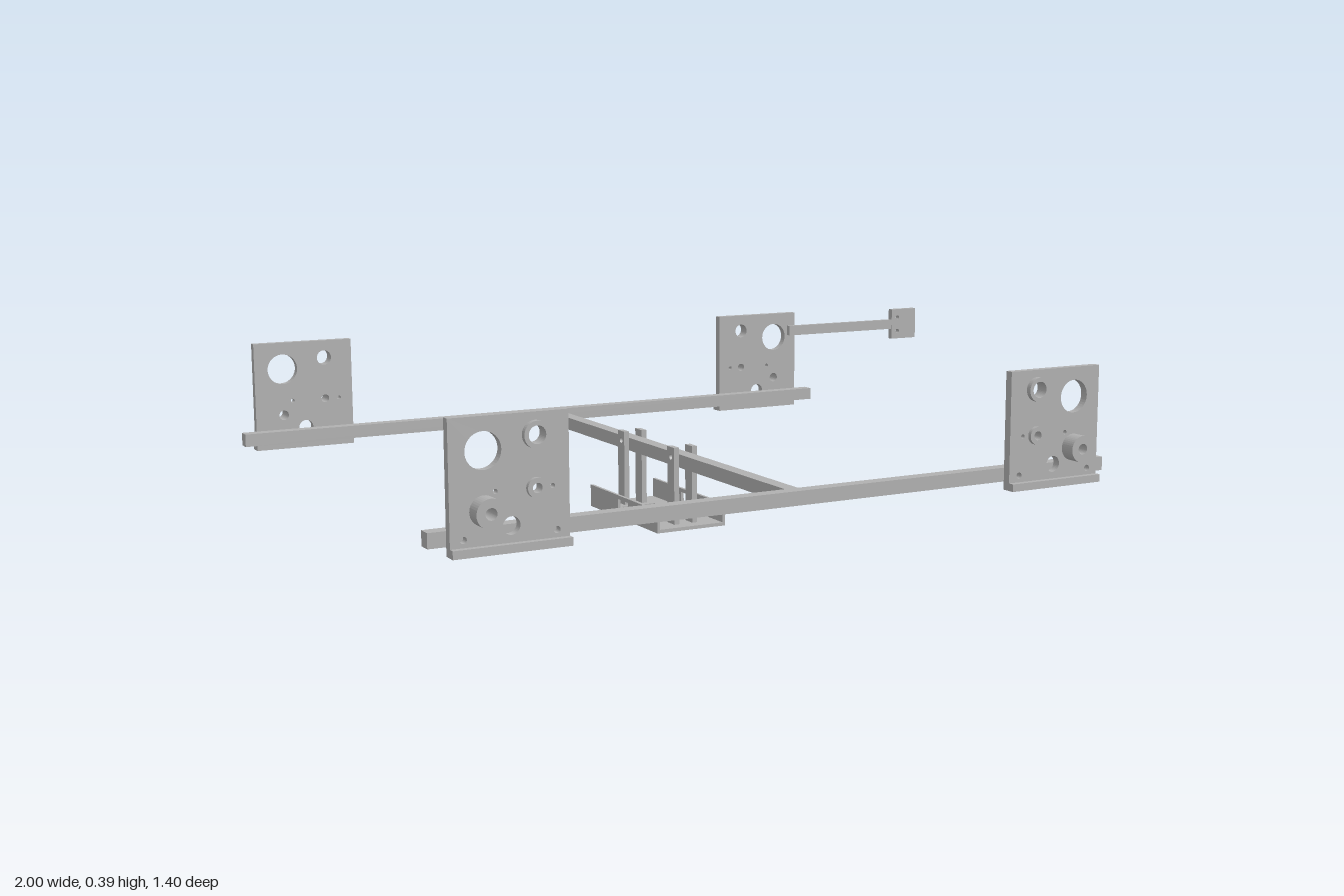
import * as THREE from 'three';

const grey = new THREE.MeshStandardMaterial({ color: 0xb0b0b0 });
grey.name = 'plain grey';

function add(parent, name, geometry, x = 0, y = 0, z = 0) {
  const mesh = new THREE.Mesh(geometry, grey);
  mesh.name = name;
  mesh.position.set(x, y, z);
  parent.add(mesh);
  return mesh;
}

// Box given by its extents
function block(parent, name, x0, x1, y0, y1, z0, z1) {
  return add(parent, name, new THREE.BoxGeometry(x1 - x0, y1 - y0, z1 - z0),
    (x0 + x1) / 2, (y0 + y1) / 2, (z0 + z1) / 2);
}

function rectPoints(x0, x1, y0, y1) {
  return [[x0, y0], [x1, y0], [x1, y1], [x0, y1]].map(p => new THREE.Vector2(...p));
}

function circleHole(x, y, r) {
  return new THREE.Path().absarc(x, y, r, 0, Math.PI * 2, true);
}

function extrude(shape, depth) {
  return new THREE.ExtrudeGeometry(shape, { depth, bevelEnabled: false, curveSegments: 20 });
}

// Hollow cylinder along z
function tube(parent, name, x, y, z, outer, inner, depth) {
  const s = new THREE.Shape().absarc(0, 0, outer, 0, Math.PI * 2, false);
  s.holes.push(circleHole(0, 0, inner));
  return add(parent, name, extrude(s, depth), x, y, z);
}

function gear(parent, x, y, z) {
  const teeth = 24, pts = [];
  for (let i = 0; i < teeth; i++) {
    [[0, 0.049], [0.3, 0.049], [0.45, 0.055], [0.8, 0.055]].forEach(([t, r]) => {
      const a = (i + t) / teeth * Math.PI * 2;
      pts.push(new THREE.Vector2(Math.cos(a) * r, Math.sin(a) * r));
    });
  }
  const s = new THREE.Shape(pts);
  s.holes.push(circleHole(0, 0, 0.01));
  add(parent, 'gear', extrude(s, 0.018), x, y, z);
}

// Drilled plate facing +z; m = 1 or -1 mirrors the hole pattern
function wheelPlate(m, withGear) {
  const g = new THREE.Group();
  g.name = 'wheelPlate';
  const front = 0.664, w = 0.123;
  const s = new THREE.Shape(rectPoints(-w, w, 0.123, 0.388));
  [[-0.053, 0.322, 0.037], [0.053, 0.345, 0.018], [-0.053, 0.207, 0.012], [0.053, 0.242, 0.01],
    [0.002, 0.173, 0.018], [-0.096, 0.155, 0.007], [0.096, 0.155, 0.007],
    [-0.03, 0.242, 0.005], [0.088, 0.242, 0.005]]
    .forEach(([x, y, r]) => s.holes.push(circleHole(x * m, y, r)));
  add(g, 'plate', extrude(s, 0.019), 0, 0, 0.645);
  block(g, 'lowerFlange', -w, w, 0.123, 0.14, front, 0.678);
  tube(g, 'upperBearing', 0.053 * m, 0.345, front, 0.027, 0.018, 0.012);
  tube(g, 'motorBoss', -0.053 * m, 0.207, front, 0.03, 0.012, 0.036);
  tube(g, 'axleBearing', 0.053 * m, 0.242, front, 0.02, 0.01, 0.009);
  if (withGear) {
    gear(g, 0.053 * m, 0.242, 0.673);
    tube(g, 'gearHub', 0.053 * m, 0.242, 0.691, 0.027, 0.01, 0.008);
  }
  return g;
}

export function createModel() {
  const model = new THREE.Group();
  model.name = 'rollingFrame';

  // Main H-shaped frame
  block(model, 'frontBeam', -1, 0.625, 0.141, 0.172, 0.613, 0.644);
  block(model, 'backBeam', -1, 0.625, 0.141, 0.172, -0.644, -0.613);
  block(model, 'crossBeam', -0.203, -0.171, 0.141, 0.172, -0.613, 0.613);

  // Four plates, with gears on the back pair
  for (const [x, m] of [[-0.84, 1], [0.467, -1]]) {
    const front = wheelPlate(m, false);
    front.position.x = x;
    const back = wheelPlate(-m, true);
    back.position.x = x;
    back.rotation.y = Math.PI;
    model.add(front, back);
  }

  // Side arm with its drilled end plate
  block(model, 'armBar', 0.565, 0.916, 0.325, 0.352, -0.644, -0.631);
  const end = new THREE.Shape(rectPoints(0.914, 0.997, 0.296, 0.382));
  end.holes.push(circleHole(0.934, 0.358, 0.006), circleHole(0.934, 0.318, 0.006));
  add(model, 'armEnd', extrude(end, 0.016), 0, 0, -0.645);

  // Hanging tray: base with window and slotted side walls
  const tray = new THREE.Group();
  tray.name = 'tray';
  model.add(tray);
  const base = new THREE.Shape(rectPoints(-0.277, -0.1, -0.177, 0.177));
  base.holes.push(new THREE.Path(rectPoints(-0.233, -0.147, -0.095, 0.095)));
  add(tray, 'trayBase', extrude(base, 0.008), 0, 0.008, 0).rotation.x = Math.PI / 2;
  for (const x of [-0.277, -0.107]) {
    const wall = new THREE.Shape(rectPoints(-0.177, 0.177, 0.008, 0.053));
    wall.holes.push(new THREE.Path(rectPoints(-0.027, 0.027, 0.021, 0.044)));
    add(tray, 'trayWall', extrude(wall, 0.007), x + 0.007, 0, 0).rotation.y = -Math.PI / 2;
  }

  // Paired hanger straps clasping the cross beam
  for (const x of [-0.217, -0.17]) {
    for (const z of [-0.129, 0.129]) {
      const strap = new THREE.Shape(rectPoints(-0.017, 0.017, 0.008, 0.188));
      strap.holes.push(circleHole(0, 0.165, 0.007));
      add(tray, 'hangerStrap', extrude(strap, 0.013), x + 0.013, 0, z).rotation.y = -Math.PI / 2;
    }
  }
  return model;
}
